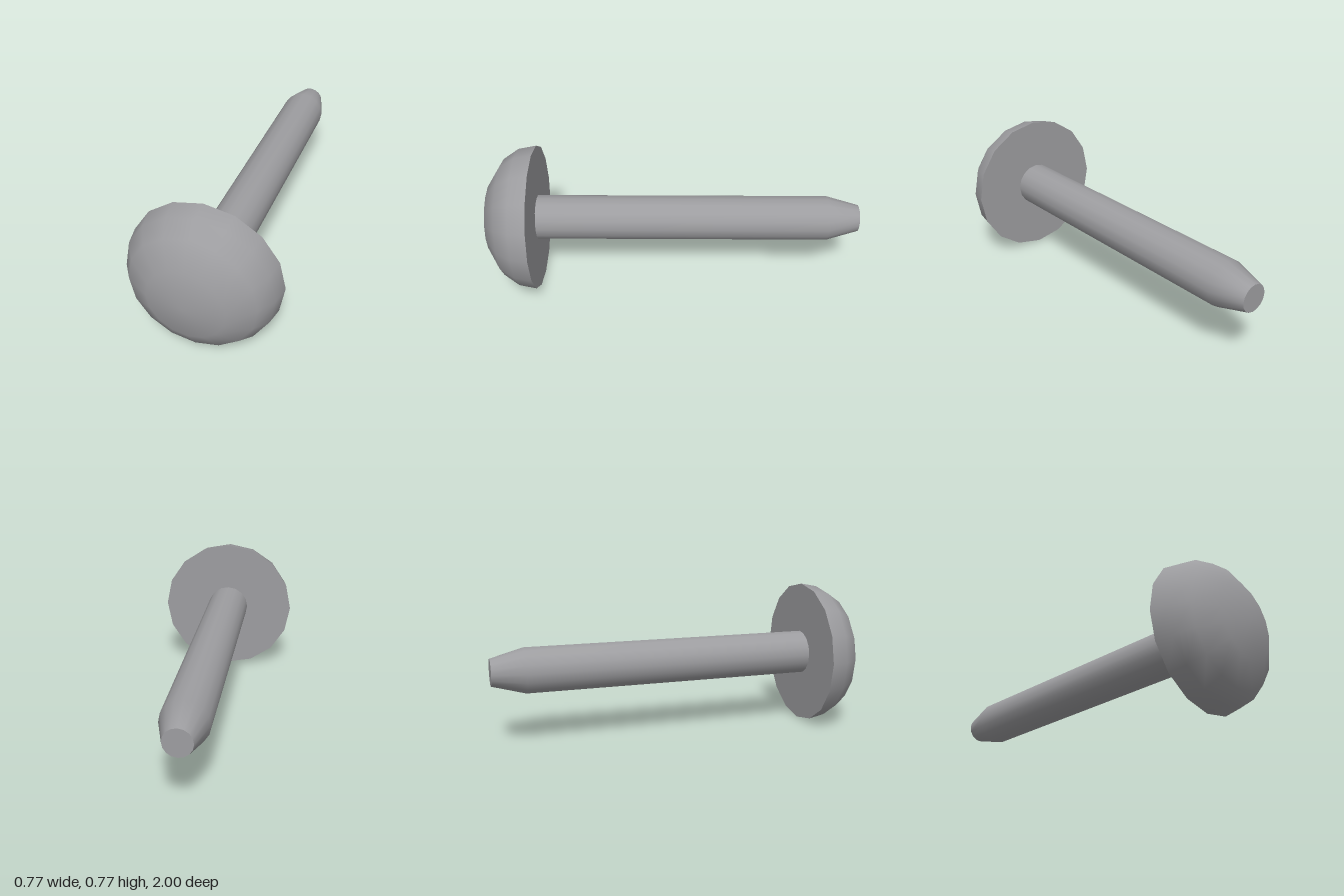
import * as THREE from 'three';

const SIDES = 16;
const CENTRE_Y = 0.387;

export function createModel() {
  const group = new THREE.Group();
  group.name = 'rivet';
  const material = new THREE.MeshStandardMaterial({ color: 0x9d9da0 });

  const add = (name, geometry) => {
    const mesh = new THREE.Mesh(geometry, material);
    mesh.name = name;
    mesh.position.y = CENTRE_Y;
    group.add(mesh);
    return mesh;
  };

  // Surface of revolution along z, from [radius, z] pairs running towards +z
  const turned = (profile) =>
    new THREE.LatheGeometry(profile.map(([r, z]) => new THREE.Vector2(r, z)), SIDES)
      .rotateX(Math.PI / 2);

  // Flat disc facing backwards (-z)
  const backDisc = (name, radius, z) => {
    add(name, new THREE.CircleGeometry(radius, SIDES).rotateY(Math.PI)).position.z = z;
  };

  // Domed head, with its pole normals pointing straight forward
  const dome = turned([
    [0.387, 0.72], [0.37, 0.812], [0.315, 0.894], [0.193, 0.969], [0, 1],
  ]);
  const { position, normal } = dome.attributes;
  for (let i = 0; i < position.count; i++) {
    if (position.getZ(i) > 0.999) normal.setXYZ(i, 0, 0, 1);
  }
  add('headDome', dome);
  backDisc('headUnderside', 0.387, 0.72);

  // Shaft with tapered tip
  add('shaft', turned([[0.071, -1], [0.119, -0.83], [0.119, 0.72]]));
  backDisc('shaftTip', 0.071, -1);

  return group;
}
